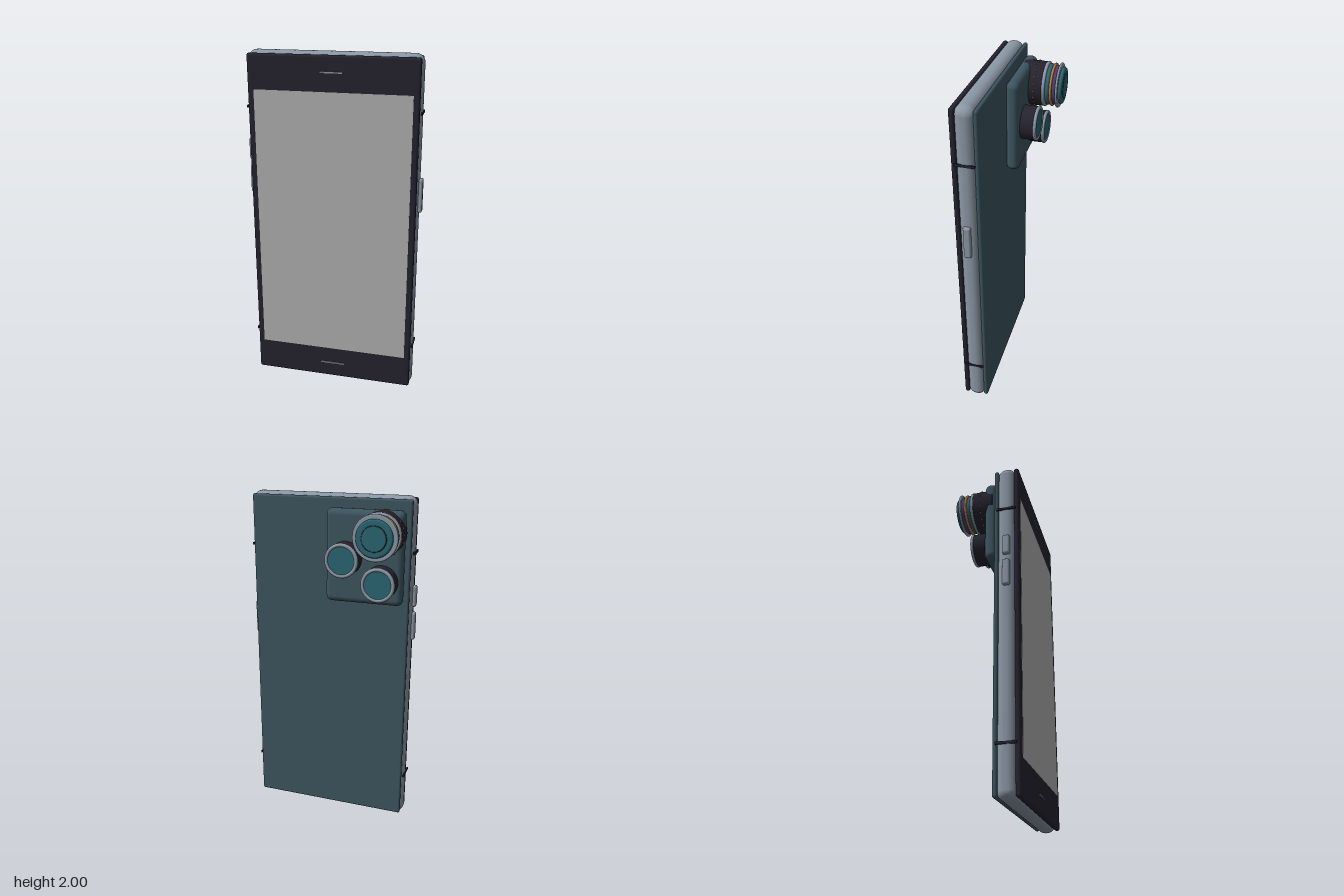
import * as THREE from 'three';
import { RoundedBoxGeometry } from 'three/addons/geometries/RoundedBoxGeometry.js';

const mat = (name, color) => {
  const m = new THREE.MeshStandardMaterial({ color });
  m.name = name;
  return m;
};

export function createModel() {
  const black = mat('black', 0x25232f);
  const silver = mat('silver', 0x8b97a5);
  const slate = mat('slate', 0x3d5560);
  const grey = mat('screenGrey', 0xb2b2b2);
  const teal = mat('lensTeal', 0x2a6672);
  const orange = mat('orange', 0xc08038);
  const purple = mat('purple', 0x4f3a72);

  const phone = new THREE.Group();
  phone.name = 'phone';

  const add = (name, geometry, material, parent = phone) => {
    const mesh = new THREE.Mesh(geometry, material);
    mesh.name = name;
    parent.add(mesh);
    return mesh;
  };

  // Box given by its limits on each axis, with rounded edges when r > 0
  const box = (name, material, [x0, x1], [y0, y1], [z0, z1], r = 0) => {
    const s = [x1 - x0, y1 - y0, z1 - z0];
    const g = r ? new RoundedBoxGeometry(...s, 5, r) : new THREE.BoxGeometry(...s);
    const mesh = add(name, g, material);
    mesh.position.set((x0 + x1) / 2, (y0 + y1) / 2, (z0 + z1) / 2);
    return mesh;
  };

  // Disc with rounded rims, from z = front back to z = back (back < front)
  const disc = (name, material, r, front, back, bevel, parent) => {
    const pts = [new THREE.Vector2(0, -front)];
    const arc = (h, a0) => {
      for (let i = 0; i <= 5; i++) {
        const a = a0 + (i / 5) * (Math.PI / 2);
        pts.push(new THREE.Vector2(r - bevel + Math.cos(a) * bevel, h + Math.sin(a) * bevel));
      }
    };
    arc(-front + bevel, -Math.PI / 2);
    arc(-back - bevel, 0);
    pts.push(new THREE.Vector2(0, -back));
    return add(name, new THREE.LatheGeometry(pts, 48).rotateX(-Math.PI / 2), material, parent);
  };

  // Body: frame between a front panel and a back panel
  box('frame', silver, [-0.49, 0.488], [0, 2], [0.068, 0.177], 0.05);
  box('frontPanel', black, [-0.481, 0.479], [0.015, 1.985], [0.168, 0.198], 0.013);
  box('backPanel', slate, [-0.479, 0.475], [0.017, 1.985], [0.05, 0.076], 0.012);
  box('screen', grey, [-0.445, 0.445], [0.212, 1.79], [0.195, 0.2]);
  box('earpiece', silver, [-0.063, 0.06], [1.891, 1.898], [0.195, 0.204]);
  box('lowerSpeaker', silver, [-0.073, 0.073], [0.108, 0.115], [0.195, 0.204]);

  // Side buttons
  box('powerButton', silver, [0.465, 0.506], [1.127, 1.325], [0.105, 0.147], 0.012);
  box('volumeUpButton', silver, [-0.508, -0.465], [1.375, 1.5], [0.105, 0.147], 0.012);
  box('volumeDownButton', silver, [-0.508, -0.465], [1.175, 1.34], [0.105, 0.147], 0.012);

  // Antenna bands
  for (const x of [-0.491, 0.487]) {
    for (const y of [0.282, 1.69]) {
      box('antennaBand', black, [x - 0.004, x + 0.004], [y - 0.007, y + 0.007], [0.068, 0.18]);
    }
  }

  // Camera island
  box('cameraIsland', slate, [-0.452, 0], [1.4, 1.93], [-0.02, 0.055], 0.035);

  // Main lens: stacked rings
  const main = new THREE.Group();
  main.name = 'mainLens';
  main.position.set(-0.334, 1.807, 0);
  phone.add(main);
  disc('lensBarrel', black, 0.125, 0.03, -0.095, 0.004, main);
  disc('barrelRing', silver, 0.126, -0.09, -0.112, 0.009, main);
  disc('lowerTealRing', teal, 0.116, -0.108, -0.135, 0.01, main);
  disc('orangeRing', orange, 0.121, -0.135, -0.15, 0.007, main);
  disc('purpleRing', purple, 0.111, -0.145, -0.175, 0.008, main);
  disc('outerRing', silver, 0.126, -0.17, -0.184, 0.0065, main);
  disc('lensCap', teal, 0.103, -0.18, -0.204, 0.011, main);
  disc('lensGlass', teal, 0.068, -0.2, -0.208, 0.0035, main);
  add('lensGlassRim', new THREE.TorusGeometry(0.069, 0.002, 8, 48), black, main).position.z = -0.204;

  // Studs around the barrel
  for (let i = 0; i < 20; i++) {
    const a = (i / 20) * Math.PI * 2 + Math.PI / 2;
    add('barrelStud', new THREE.SphereGeometry(0.005, 10, 8), orange, main)
      .position.set(Math.cos(a) * 0.126, Math.sin(a) * 0.126, -0.048);
  }

  // Two small lenses
  for (const [x, y] of [[-0.123, 1.659], [-0.334, 1.537]]) {
    const lens = new THREE.Group();
    lens.name = 'smallLens';
    lens.position.set(x, y, 0);
    phone.add(lens);
    disc('smallBarrel', black, 0.095, 0.02, -0.095, 0.004, lens);
    add('smallRim', new THREE.TorusGeometry(0.087, 0.011, 12, 48), silver, lens).position.z = -0.101;
    disc('smallGlass', teal, 0.082, -0.09, -0.107, 0.003, lens);
  }

  return phone;
}
